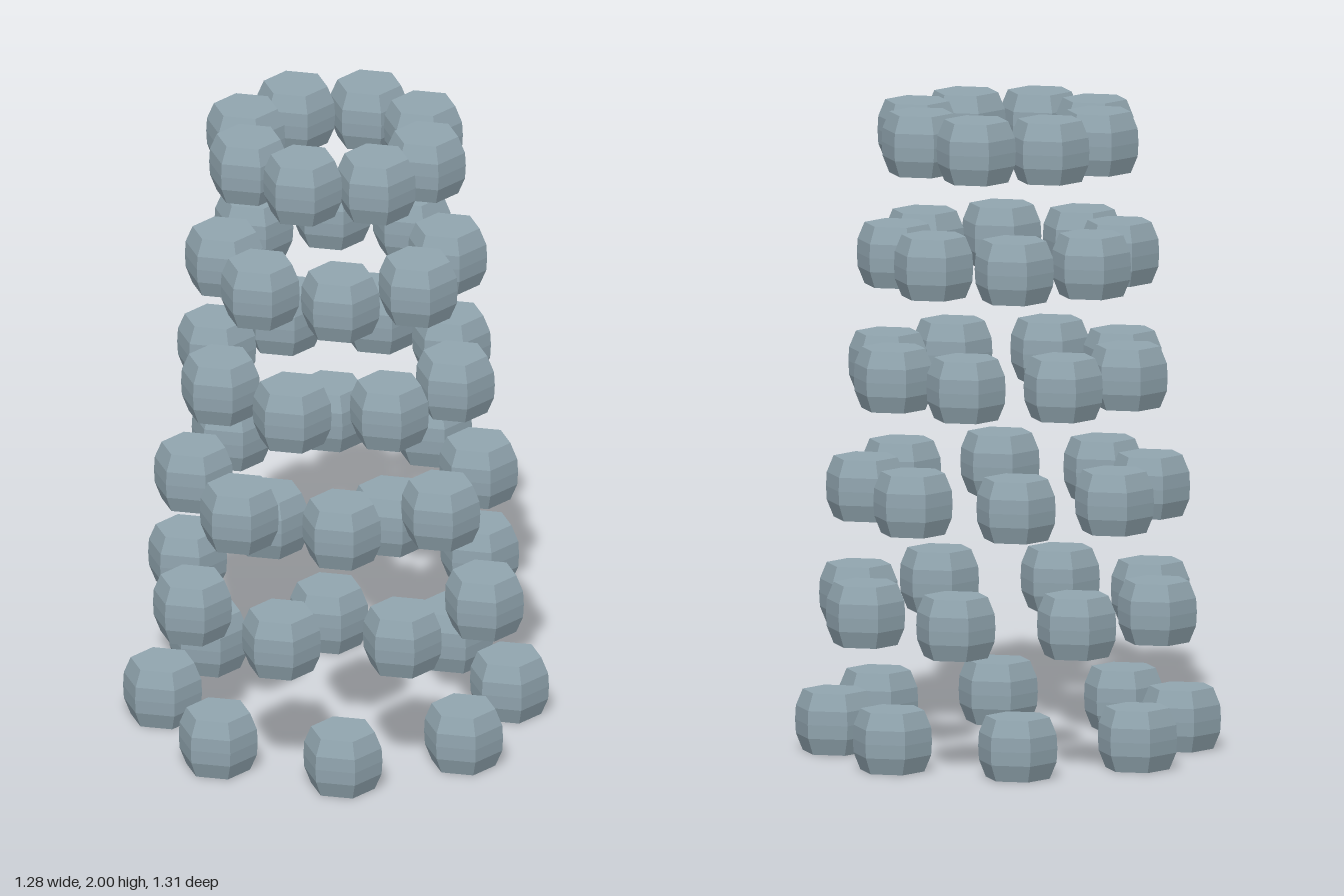
import * as THREE from 'three';

// Six stacked rings of eight faceted hexagonal beads, tapering upward.
const RINGS = 6, BEADS = 8;
const BASE_RADIUS = 0.532, TOP_RADIUS = 0.295;
const HALF_HEIGHT = 0.095;

// Bead profile, bottom to top: flat cap, bevel, slightly bulging side, bevel, cap
function beadGeometry() {
  const profile = [
    [0, -HALF_HEIGHT], [0.1, -HALF_HEIGHT], [0.1215, -0.043], [0.124, 0],
    [0.1215, 0.043], [0.1, HALF_HEIGHT], [0, HALF_HEIGHT],
  ].map(([r, y]) => new THREE.Vector2(r, y));
  return new THREE.LatheGeometry(profile, 6);
}

export function createModel() {
  const model = new THREE.Group();
  model.name = 'beadTower';
  const material = new THREE.MeshStandardMaterial({ color: 0x90a4ae, flatShading: true });
  material.name = 'blueGrey';
  const geometry = beadGeometry();

  for (let i = 0; i < RINGS; i++) {
    const t = i / (RINGS - 1);
    const ring = new THREE.Group();
    ring.name = `ring${i + 1}`;
    ring.position.y = THREE.MathUtils.lerp(HALF_HEIGHT, 2 - HALF_HEIGHT, t);
    const radius = THREE.MathUtils.lerp(BASE_RADIUS, TOP_RADIUS, t);
    // Alternate rings are staggered by half a step; beads keep one orientation
    for (let j = 0; j < BEADS; j++) {
      const angle = ((j + (i % 2) / 2) / BEADS) * Math.PI * 2;
      const bead = new THREE.Mesh(geometry, material);
      bead.name = `bead${j + 1}`;
      bead.position.set(radius * Math.cos(angle), 0, radius * Math.sin(angle));
      ring.add(bead);
    }
    model.add(ring);
  }
  return model;
}
